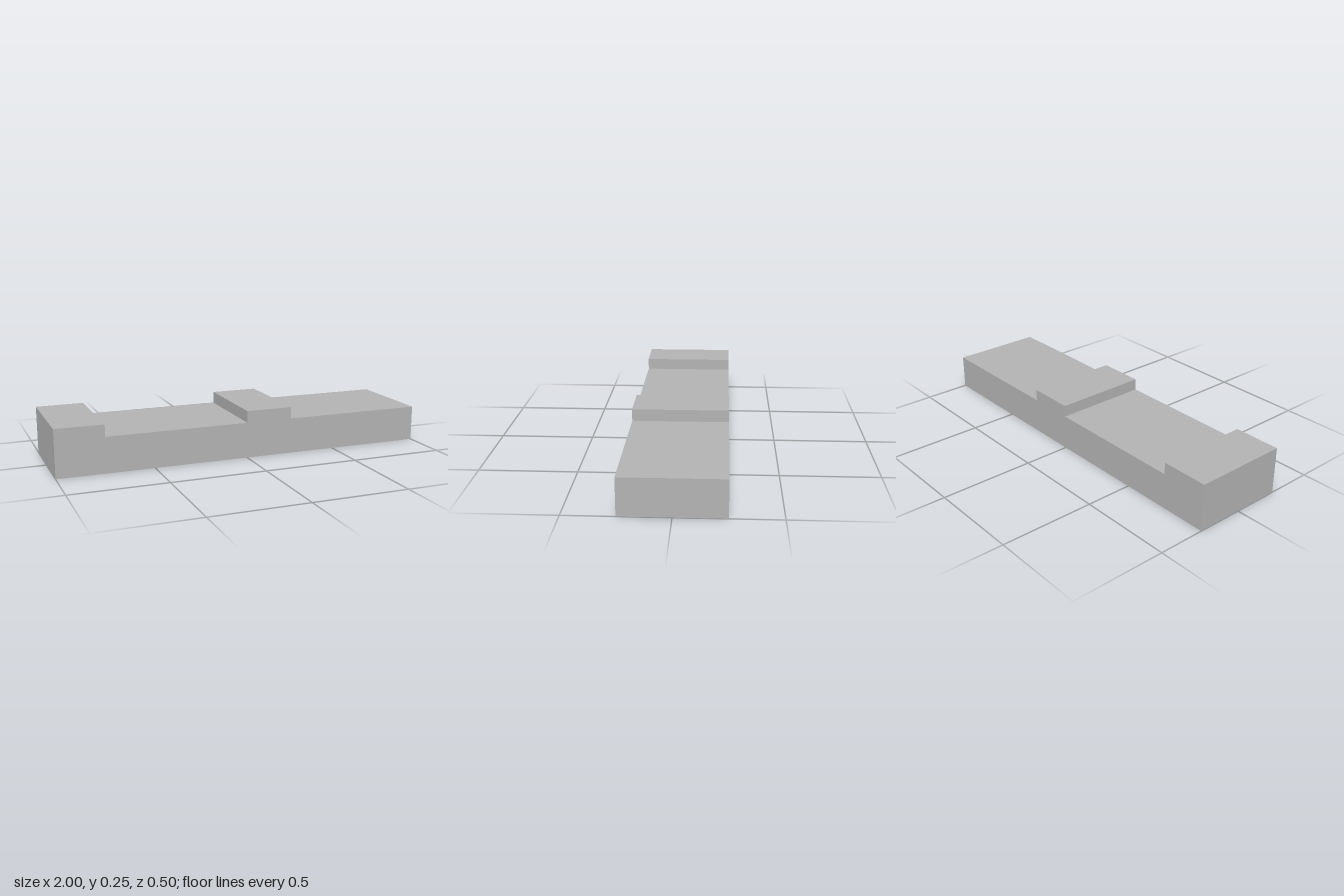
import * as THREE from 'three';

export function createModel() {
  const group = new THREE.Group();
  group.name = 'steppedBar';
  const grey = new THREE.MeshStandardMaterial({ color: 0xb3b3b3 });
  grey.name = 'plain grey';

  const depth = 0.5;
  const low = 0.1875; // top of the long bar
  const high = 0.25; // top of the raised blocks

  // Side profile: a long bar with a raised end block and a raised middle block
  const profile = new THREE.Shape([
    [-1, 0], [1, 0], [1, low], [0.25, low], [0.25, high],
    [0, high], [0, low], [-0.75, low], [-0.75, high], [-1, high],
  ].map(([x, y]) => new THREE.Vector2(x, y)));

  const geometry = new THREE.ExtrudeGeometry(profile, { depth, bevelEnabled: false });
  geometry.translate(0, 0, -depth / 2);

  const bar = new THREE.Mesh(geometry, grey);
  bar.name = 'barWithRaisedBlocks';
  group.add(bar);
  return group;
}
